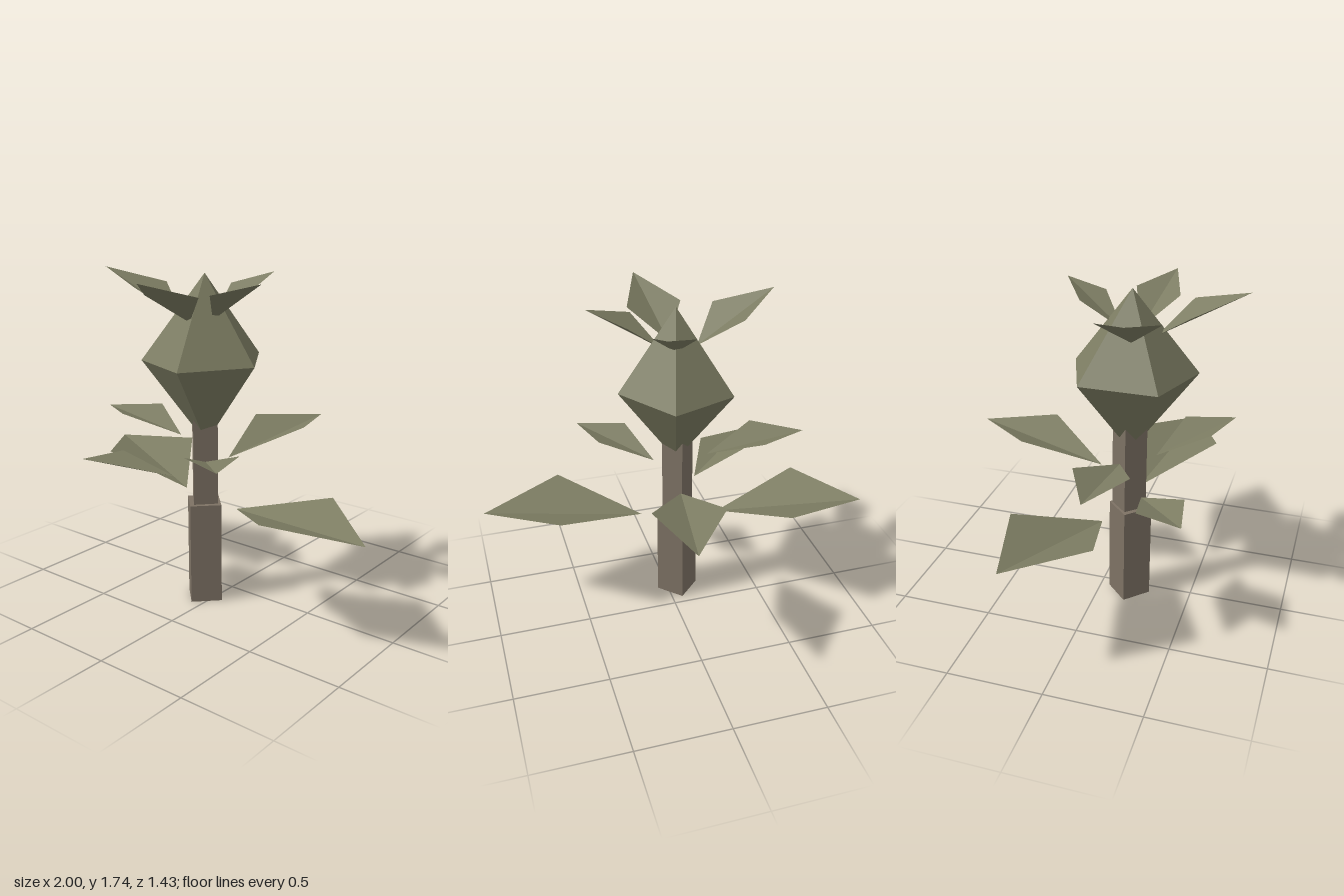
import * as THREE from 'three';

const paint = (color) => new THREE.MeshStandardMaterial({ color, flatShading: true, side: THREE.DoubleSide });
const bark = paint(0x7d7264);
const green = paint(0x7c7c62);

// Folded kite leaf: a low midrib from base to tip, with two raised side corners
function leaf(name, base, tip, sideA, sideB) {
  const geo = new THREE.BufferGeometry();
  geo.setAttribute('position', new THREE.Float32BufferAttribute(
    [base, sideA, tip, base, tip, sideB].flat(), 3));
  geo.computeVertexNormals();
  const mesh = new THREE.Mesh(geo, green);
  mesh.name = name;
  return mesh;
}

// Four-sided post with one corner facing the front
function post(name, rx, rz, y0, y1, x, z) {
  const geo = new THREE.CylinderGeometry(1, 1, y1 - y0, 4);
  geo.scale(rx, 1, rz);
  const mesh = new THREE.Mesh(geo, bark);
  mesh.position.set(x, (y0 + y1) / 2, z);
  mesh.name = name;
  return mesh;
}

export function createModel() {
  const group = new THREE.Group();
  group.name = 'tree';

  // Stepped trunk
  group.add(post('lowerTrunk', 0.115, 0.115, 0, 0.545, -0.058, 0.163));
  group.add(post('upperTrunk', 0.086, 0.092, 0.54, 1.05, -0.058, 0.155));

  // Five-sided double-cone crown
  const profile = [[0, 0.865], [1, 1.3], [0, 1.735]].map(([r, y]) => new THREE.Vector2(r, y));
  const crownGeo = new THREE.LatheGeometry(profile, 5, Math.PI / 2);
  crownGeo.scale(0.31, 1, 0.342);
  const crown = new THREE.Mesh(crownGeo, green);
  crown.position.set(-0.05, 0, 0.156);
  crown.name = 'crown';
  group.add(crown);

  // Leaves round the trunk: base, tip, two side corners facing up
  const trunkLeaves = [
    [[0.15, 0.545, 0.157], [0.995, 0.61, 0.305], [0.55, 0.667, 0.505], [0.625, 0.667, -0.01]],
    [[-0.262, 0.545, 0.07], [-1, 0.652, -0.2], [-0.55, 0.687, -0.315], [-0.74, 0.687, 0.175]],
    [[-0.225, 0.873, 0.15], [-0.778, 0.946, 0.13], [-0.5, 0.968, -0.005], [-0.52, 0.968, 0.287]],
    [[-0.187, 0.676, 0.255], [-0.565, 0.771, 0.548], [-0.5, 0.773, 0.31], [-0.305, 0.773, 0.505]],
    [[0.043, 0.808, 0.273], [0.404, 0.916, 0.628], [0.14, 0.917, 0.545], [0.33, 0.917, 0.363]],
    [[-0.03, 0.745, -0.005], [0.097, 0.857, -0.717], [0.222, 0.88, -0.345], [-0.15, 0.88, -0.41]],
  ];
  trunkLeaves.forEach((p, i) => group.add(leaf(`trunkLeaf${i + 1}`, ...p)));

  // Steeper leaves round the crown
  const crownLeaves = [
    [[-0.17, 1.503, 0.185], [-0.617, 1.74, 0.275], [-0.385, 1.66, 0.065], [-0.315, 1.66, 0.372]],
    [[0.02, 1.512, 0.18], [0.385, 1.722, 0.275], [0.14, 1.658, 0.348], [0.21, 1.665, 0.105]],
    [[-0.045, 1.505, 0.278], [0.028, 1.74, 0.715], [-0.166, 1.648, 0.465], [0.137, 1.656, 0.424]],
    [[-0.035, 1.515, 0.105], [0.1, 1.72, -0.224], [0.125, 1.66, -0.03], [-0.085, 1.66, -0.1]],
  ];
  crownLeaves.forEach((p, i) => group.add(leaf(`crownLeaf${i + 1}`, ...p)));

  return group;
}
